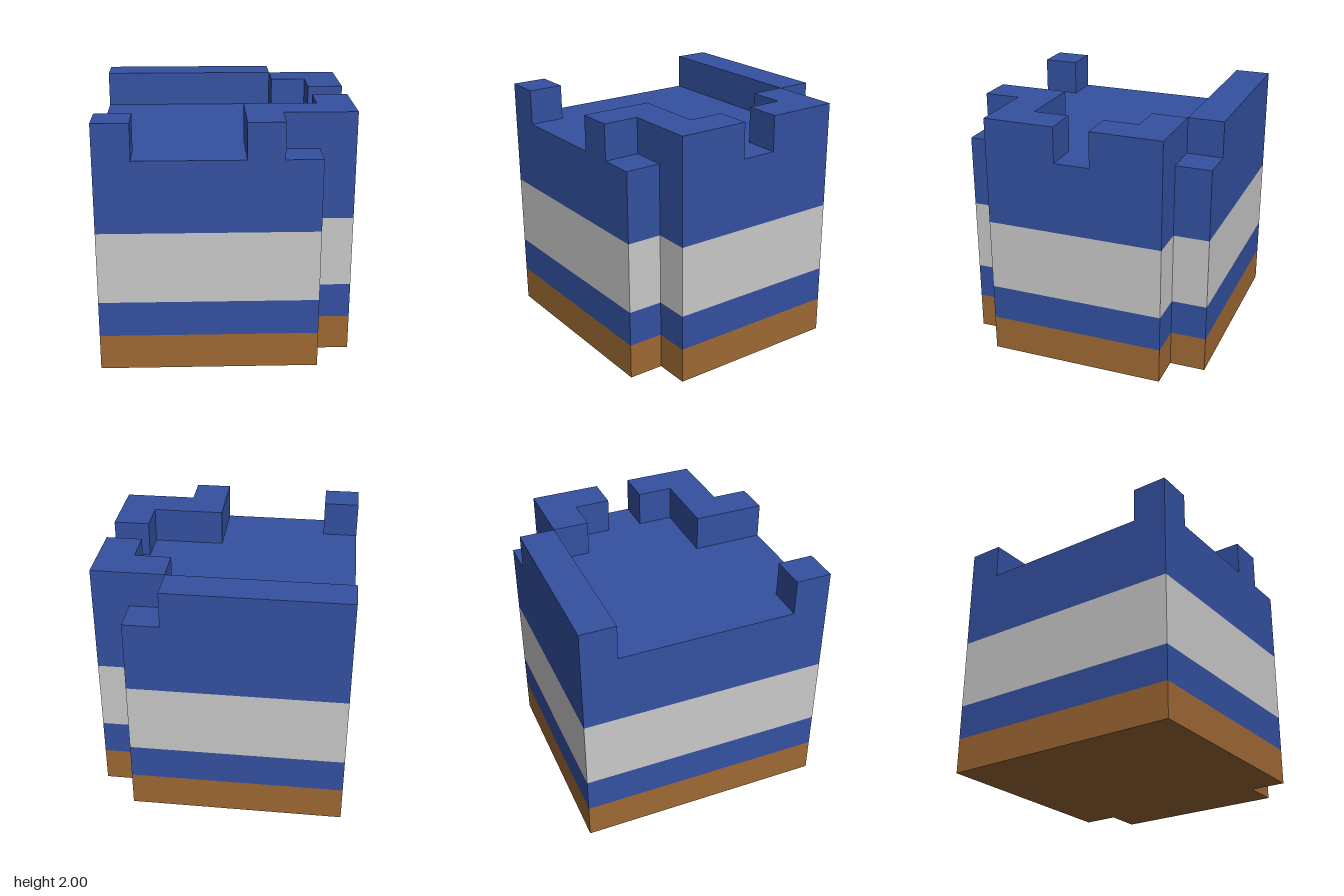
import * as THREE from 'three';

const U = 2 / 7; // one block

const paint = (name, color) => {
  const m = new THREE.MeshStandardMaterial({ color });
  m.name = name;
  return m;
};

// Vertical prism: outline in block units [x, z] (0..7 from back left corner), between two block heights
function prism(name, outline, from, to, material) {
  const shape = new THREE.Shape(outline.map(([x, z]) => new THREE.Vector2(x * U - 1, 1 - z * U)));
  const geometry = new THREE.ExtrudeGeometry(shape, { depth: (to - from) * U, bevelEnabled: false });
  geometry.rotateX(-Math.PI / 2);
  geometry.translate(0, from * U, 0);
  const mesh = new THREE.Mesh(geometry, material);
  mesh.name = name;
  return mesh;
}

export function createModel() {
  const blue = paint('blue', 0x3451a1);
  const grey = paint('light grey', 0xc9c9c9);
  const brown = paint('brown', 0x9f6934);

  const model = new THREE.Group();
  model.name = 'blockTower';

  // Body: square plan with both +x corners notched, in coloured bands
  const plan = [[0, 0], [6, 0], [6, 1], [7, 1], [7, 6], [6, 6], [6, 7], [0, 7]];
  model.add(
    prism('baseBand', plan, 0, 1, brown),
    prism('lowerBand', plan, 1, 2, blue),
    prism('middleBand', plan, 2, 4, grey),
    prism('upperBand', plan, 4, 6, blue),
  );

  // Raised blocks around the roof edge
  const parapets = {
    backWall: [[0, 0], [5, 0], [5, 1], [0, 1]],
    backCornerWall: [[5, 1], [7, 1], [7, 3], [6, 3], [6, 2], [5, 2]],
    frontCornerWall: [[4, 5], [6, 5], [6, 4], [7, 4], [7, 6], [5, 6], [5, 7], [4, 7]],
    frontPost: [[0, 6], [1, 6], [1, 7], [0, 7]],
  };
  for (const [name, outline] of Object.entries(parapets)) {
    model.add(prism(name, outline, 6, 7, blue));
  }
  return model;
}
